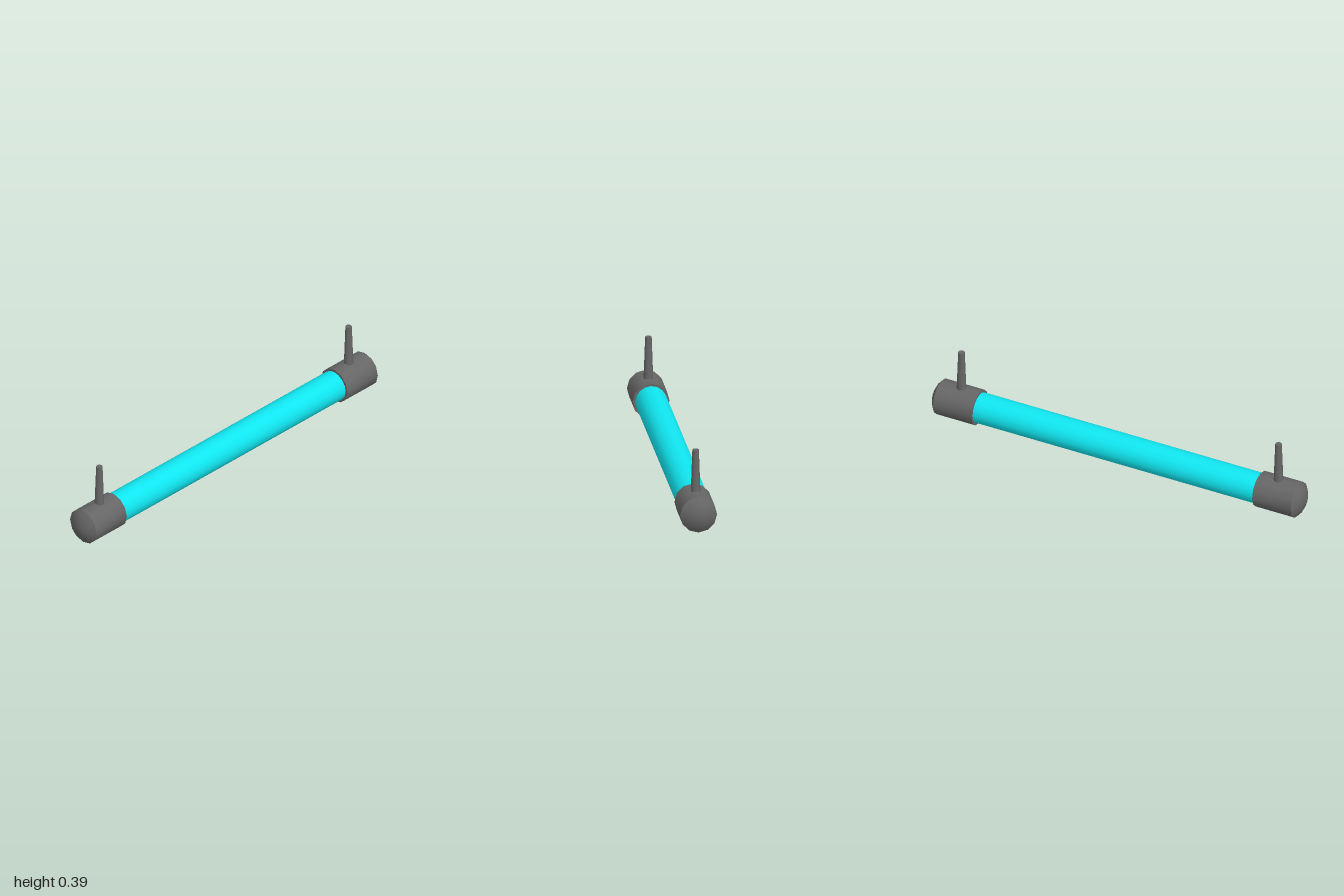
import * as THREE from 'three';
import { toCreasedNormals } from 'three/addons/utils/BufferGeometryUtils.js';

export function createModel() {
  const model = new THREE.Group();
  model.name = 'tubeWithEndCaps';
  const grey = new THREE.MeshStandardMaterial({ color: 0x666666 });
  const cyan = new THREE.MeshStandardMaterial({ color: 0x10e6f0 });
  const axisY = 0.09;

  const add = (parent, name, geometry, material) => {
    const mesh = new THREE.Mesh(geometry, material);
    mesh.name = name;
    parent.add(mesh);
    return mesh;
  };

  // Long coloured tube lying along x
  const tube = add(model, 'tube', new THREE.CylinderGeometry(0.077, 0.077, 1.6, 16), cyan);
  tube.rotation.z = Math.PI / 2;
  tube.position.y = axisY;

  // End cap profile: flat inner face, straight wall, shallow domed end
  const radius = 0.09, wallEnd = 0.965, depth = 0.035;
  const domeRadius = (radius ** 2 + depth ** 2) / (2 * depth);
  const domeAngle = Math.asin(radius / domeRadius);
  const profile = [[0, 0.757], [radius, 0.757], [radius, wallEnd]].map(p => new THREE.Vector2(...p));
  for (let i = 3; i >= 0; i--) {
    const a = domeAngle * i / 4;
    profile.push(new THREE.Vector2(domeRadius * Math.sin(a), 1 - domeRadius * (1 - Math.cos(a))));
  }
  const capGeometry = toCreasedNormals(new THREE.LatheGeometry(profile, 12), 0.7);
  capGeometry.rotateZ(-Math.PI / 2);

  // Tapered upright nozzle
  const nozzleGeometry = new THREE.CylinderGeometry(0.016, 0.0245, 0.237, 12);

  // Matching fittings on both ends
  for (const side of [1, -1]) {
    const fitting = new THREE.Group();
    fitting.name = side > 0 ? 'leftFitting' : 'rightFitting';
    fitting.position.y = axisY;
    if (side < 0) fitting.rotation.y = Math.PI;
    add(fitting, 'endCap', capGeometry, grey);
    add(fitting, 'nozzle', nozzleGeometry, grey).position.set(0.855, 0.1785, 0);
    model.add(fitting);
  }
  return model;
}
